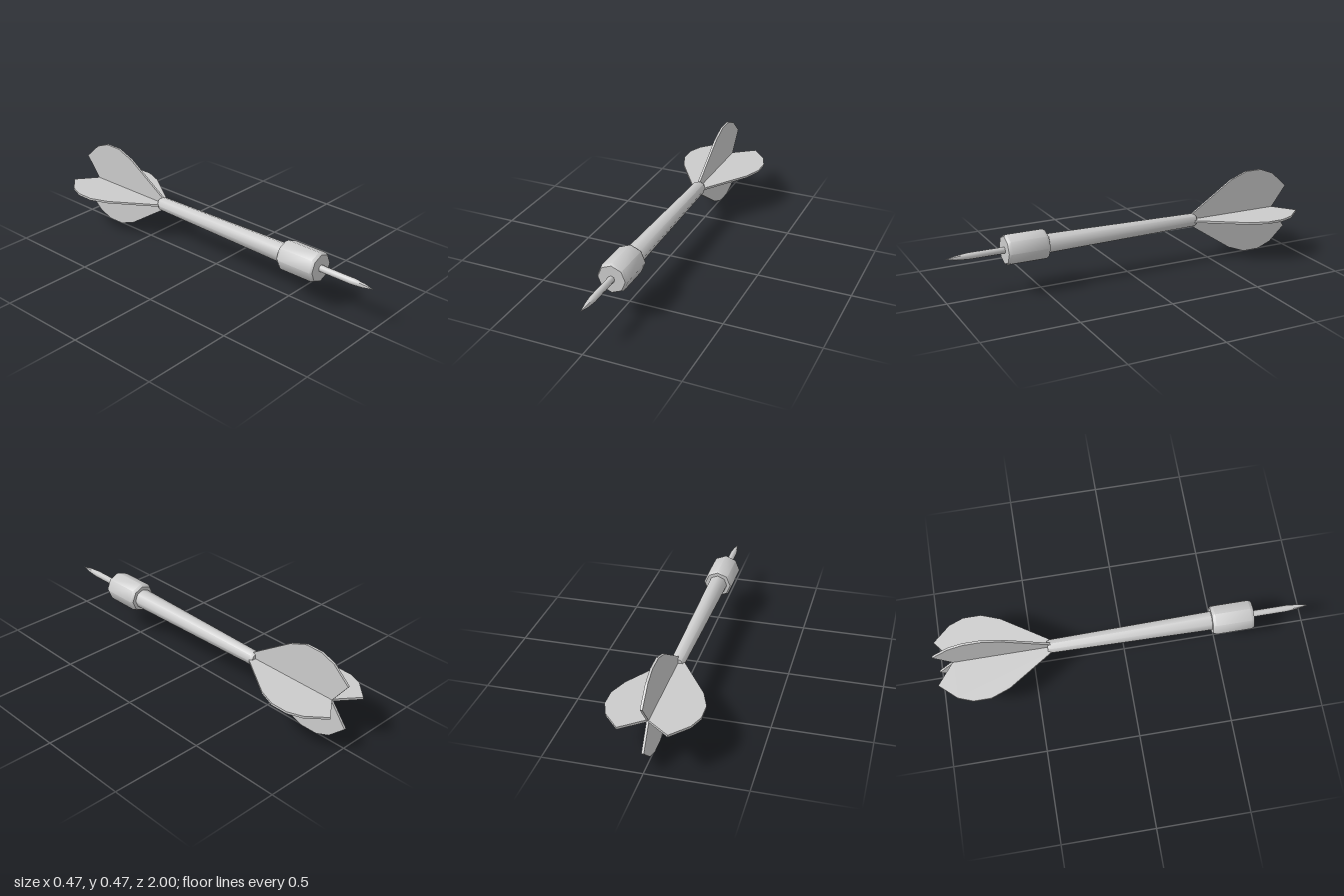
import * as THREE from 'three';
import { toCreasedNormals } from 'three/addons/utils/BufferGeometryUtils.js';

const SIDES = 8;
const AXIS_Y = 0.235;
const FIN_THICKNESS = 0.012;
const material = new THREE.MeshStandardMaterial({ color: 0xcccccc });

// Turned part along z; profile is [radius, z] from back to front.
function turned(name, profile) {
  const points = profile.map(([r, z]) => new THREE.Vector2(r, z));
  const geometry = new THREE.LatheGeometry(points, SIDES);
  geometry.rotateX(Math.PI / 2);
  const mesh = new THREE.Mesh(toCreasedNormals(geometry, 0.82), material);
  mesh.name = name;
  return mesh;
}

// One fin plate, its outline as [distance from axis, z].
function finGeometry() {
  const outline = [
    [0, -0.39], [0.034, -0.39], [0.195, -0.635], [0.233, -0.735],
    [0.233, -0.83], [0.203, -0.908], [0.12, -1], [0, -0.908],
  ];
  const shape = new THREE.Shape(outline.map(([r, z]) => new THREE.Vector2(r, z)));
  const geometry = new THREE.ExtrudeGeometry(shape, { depth: FIN_THICKNESS, bevelEnabled: false });
  geometry.translate(0, 0, -FIN_THICKNESS / 2);
  geometry.rotateX(Math.PI / 2);
  return geometry;
}

export function createModel() {
  const dart = new THREE.Group();
  dart.name = 'dart';

  // Pointed needle
  dart.add(turned('needle', [[0.018, 0.68], [0.018, 0.88], [0.012, 0.94], [0, 1]]));

  // Heavy grip with chamfered ends
  dart.add(turned('barrel', [
    [0, 0.468], [0.072, 0.468], [0.082, 0.484], [0.082, 0.674], [0.073, 0.69], [0, 0.69],
  ]));

  // Tapering shaft
  dart.add(turned('shaft', [
    [0, -0.41], [0.031, -0.41], [0.038, -0.395], [0.053, 0.475],
  ]));

  // Four fins in a cross
  const fins = new THREE.Group();
  fins.name = 'fins';
  const geometry = finGeometry();
  ['leftFin', 'topFin', 'rightFin', 'bottomFin'].forEach((name, i) => {
    const fin = new THREE.Mesh(geometry, material);
    fin.name = name;
    fin.rotation.z = (i * Math.PI) / 2;
    fins.add(fin);
  });
  dart.add(fins);

  dart.position.y = AXIS_Y;
  const model = new THREE.Group();
  model.name = 'model';
  model.add(dart);
  return model;
}
